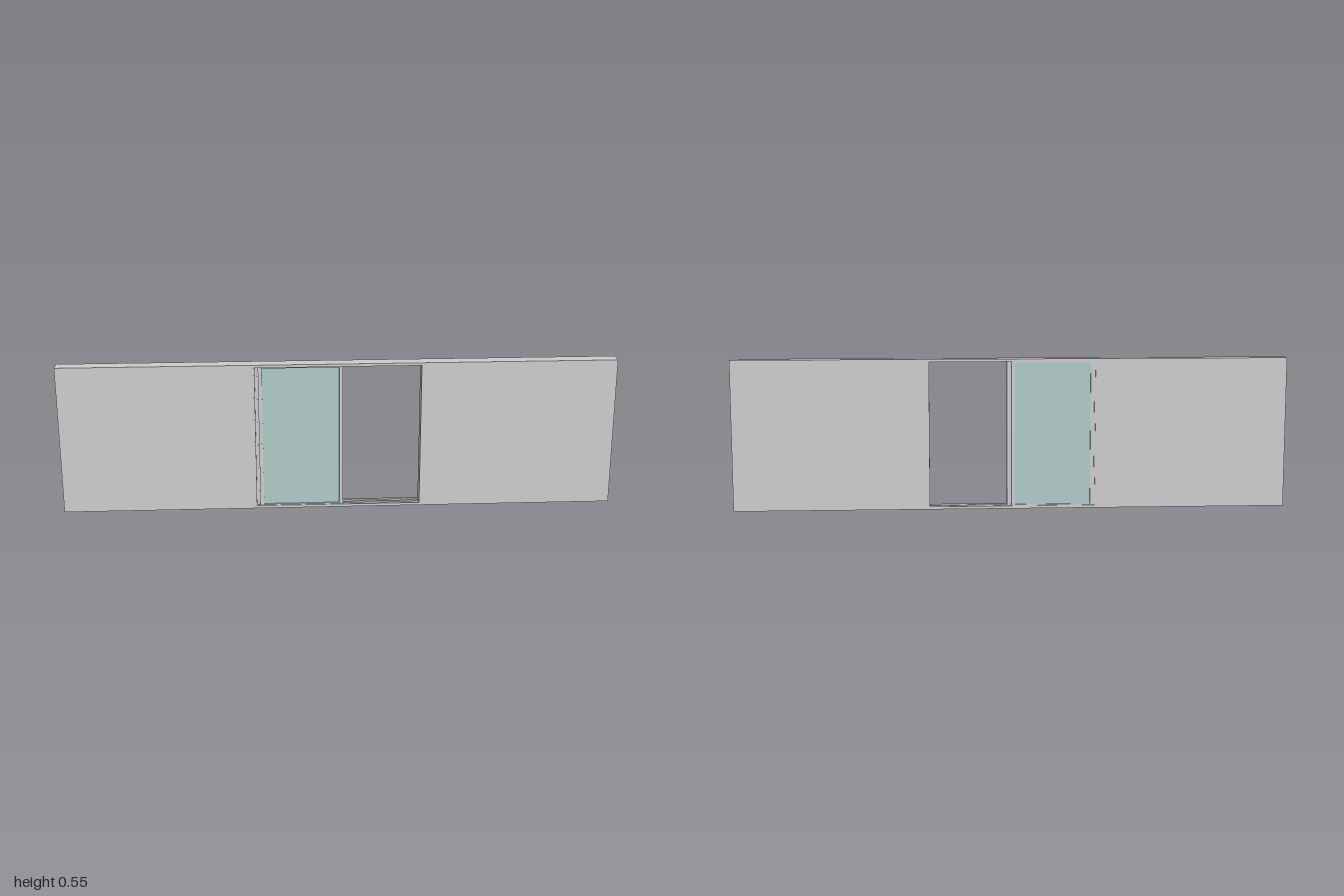
import * as THREE from 'three';

const H = 0.545, D = 0.052;          // wall height and thickness
const OPEN_L = -0.304, OPEN_R = 0.295; // opening edges

const grey = new THREE.MeshStandardMaterial({ color: 0xcccccc });
const glass = new THREE.MeshStandardMaterial({ color: 0xaec9c6 });

// Box given by its min and max on each axis
function box(parent, name, [x0, x1], [y0, y1], [z0, z1], material = grey) {
  const mesh = new THREE.Mesh(new THREE.BoxGeometry(x1 - x0, y1 - y0, z1 - z0), material);
  mesh.position.set((x0 + x1) / 2, (y0 + y1) / 2, (z0 + z1) / 2);
  mesh.name = name;
  parent.add(mesh);
  return mesh;
}

// Glazed panel: four-sided frame extruded with a hole, plus a pane
function sash(name, x0, x1, y0, y1, zc, depth, stile, rail) {
  const group = new THREE.Group();
  group.name = name;
  const rect = (Type, a, b, c, d) => new Type([
    new THREE.Vector2(a, c), new THREE.Vector2(b, c),
    new THREE.Vector2(b, d), new THREE.Vector2(a, d)]);
  const shape = rect(THREE.Shape, x0, x1, y0, y1);
  shape.holes.push(rect(THREE.Path, x0 + stile, x1 - stile, y0 + rail, y1 - rail));
  const frame = new THREE.Mesh(
    new THREE.ExtrudeGeometry(shape, { depth, bevelEnabled: false }), grey);
  frame.position.z = zc - depth / 2;
  frame.name = name + 'Frame';
  group.add(frame);
  box(group, name + 'Glass', [x0 + stile, x1 - stile], [y0 + rail, y1 - rail],
    [zc - 0.004, zc + 0.004], glass);
  return group;
}

export function createModel() {
  const model = new THREE.Group();
  model.name = 'slidingDoorWall';
  const full = [-D / 2, D / 2];

  // Wall on both sides of the opening
  box(model, 'wallRight', [-1, OPEN_L], [0, H], full);
  box(model, 'wallLeft', [OPEN_R, 1], [0, H], full);

  // Head and sill with raised guide ribs for the two tracks
  const span = [OPEN_L, OPEN_R];
  box(model, 'sill', span, [0, 0.005], full);
  box(model, 'head', span, [H - 0.005, H], full);
  for (const z of [-0.024, 0, 0.024]) {
    const ribZ = [z - 0.002, z + 0.002];
    box(model, 'sillRib', span, [0.005, 0.01], ribZ);
    box(model, 'headRib', span, [H - 0.01, H - 0.005], ribZ);
  }

  // Jamb behind the closing edge of the panels, with a centre rib
  box(model, 'jamb', [OPEN_L, OPEN_L + 0.004], [0.005, H - 0.005], [-0.024, 0.024]);
  box(model, 'jambRib', [OPEN_L + 0.004, OPEN_L + 0.012], [0.005, H - 0.005], [-0.002, 0.002]);

  // Fixed panel at the back, sliding panel pushed open in front of it
  model.add(sash('fixedPanel', -0.3, 0, 0.006, H - 0.006, -0.012, 0.018, 0.013, 0.008));
  model.add(sash('slidingPanel', -0.288, 0.015, 0.006, H - 0.006, 0.012, 0.018, 0.014, 0.008));

  // Pull handle on the sliding panel: grip on two posts
  const handle = new THREE.Group();
  handle.name = 'handle';
  box(handle, 'grip', [-0.285, -0.279], [0.245, 0.305], [0.0235, 0.026]);
  for (const y of [0.25, 0.3]) {
    box(handle, 'post', [-0.284, -0.28], [y - 0.003, y + 0.003], [0.02, 0.024]);
  }
  model.add(handle);

  return model;
}
